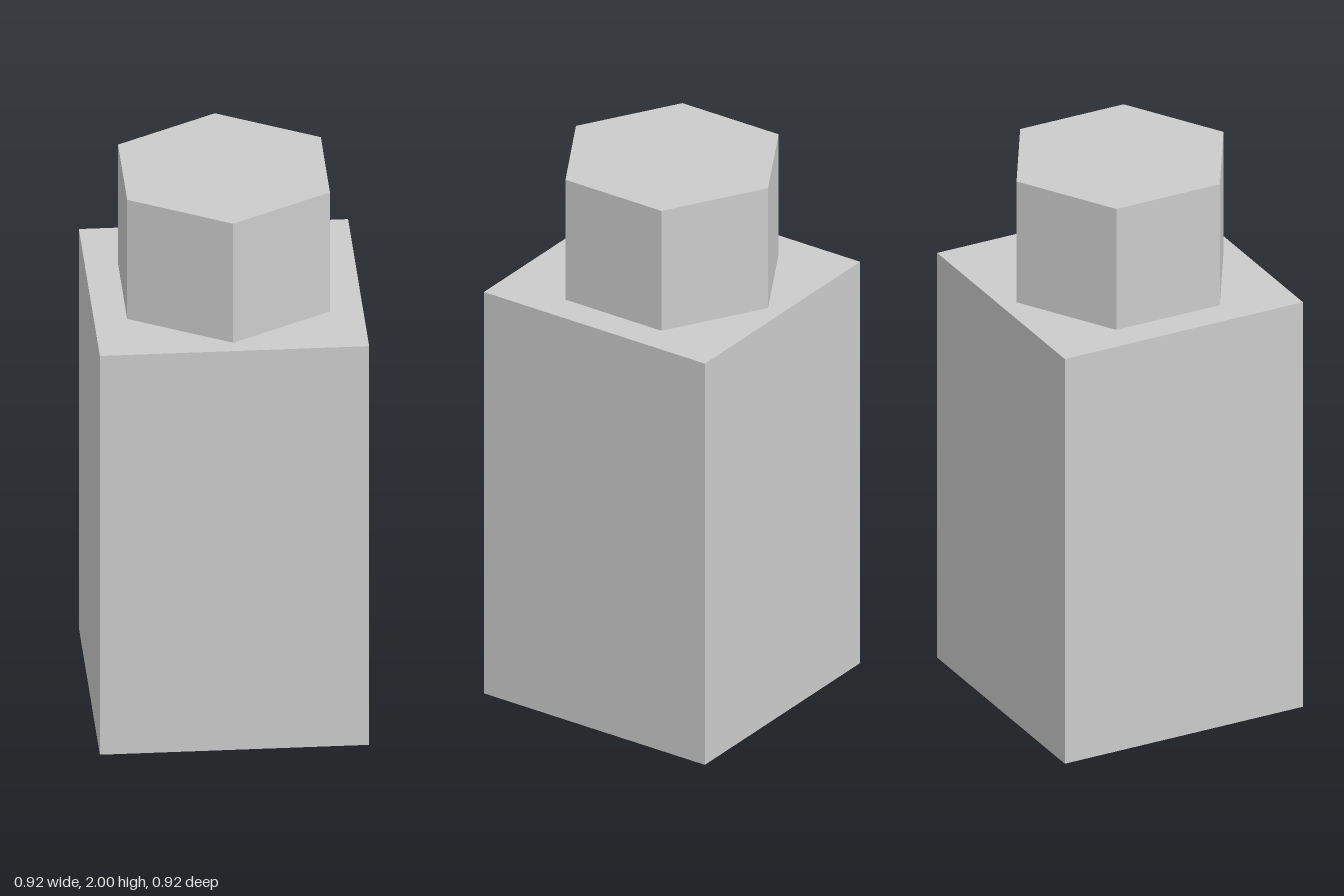
import * as THREE from 'three';

export function createModel() {
  const group = new THREE.Group();
  const material = new THREE.MeshStandardMaterial({ color: 0xcccccc, flatShading: true });
  const bodyHeight = 1.54, width = 0.92, capHeight = 0.46;

  // Square body standing on the ground
  const body = new THREE.Mesh(new THREE.BoxGeometry(width, bodyHeight, width), material);
  body.name = 'body';
  body.position.y = bodyHeight / 2;

  // Hexagonal cap with corners pointing to the front and back
  const cap = new THREE.Mesh(new THREE.CylinderGeometry(0.4, 0.4, capHeight, 6), material);
  cap.name = 'cap';
  cap.position.y = bodyHeight + capHeight / 2;

  group.add(body, cap);
  return group;
}
